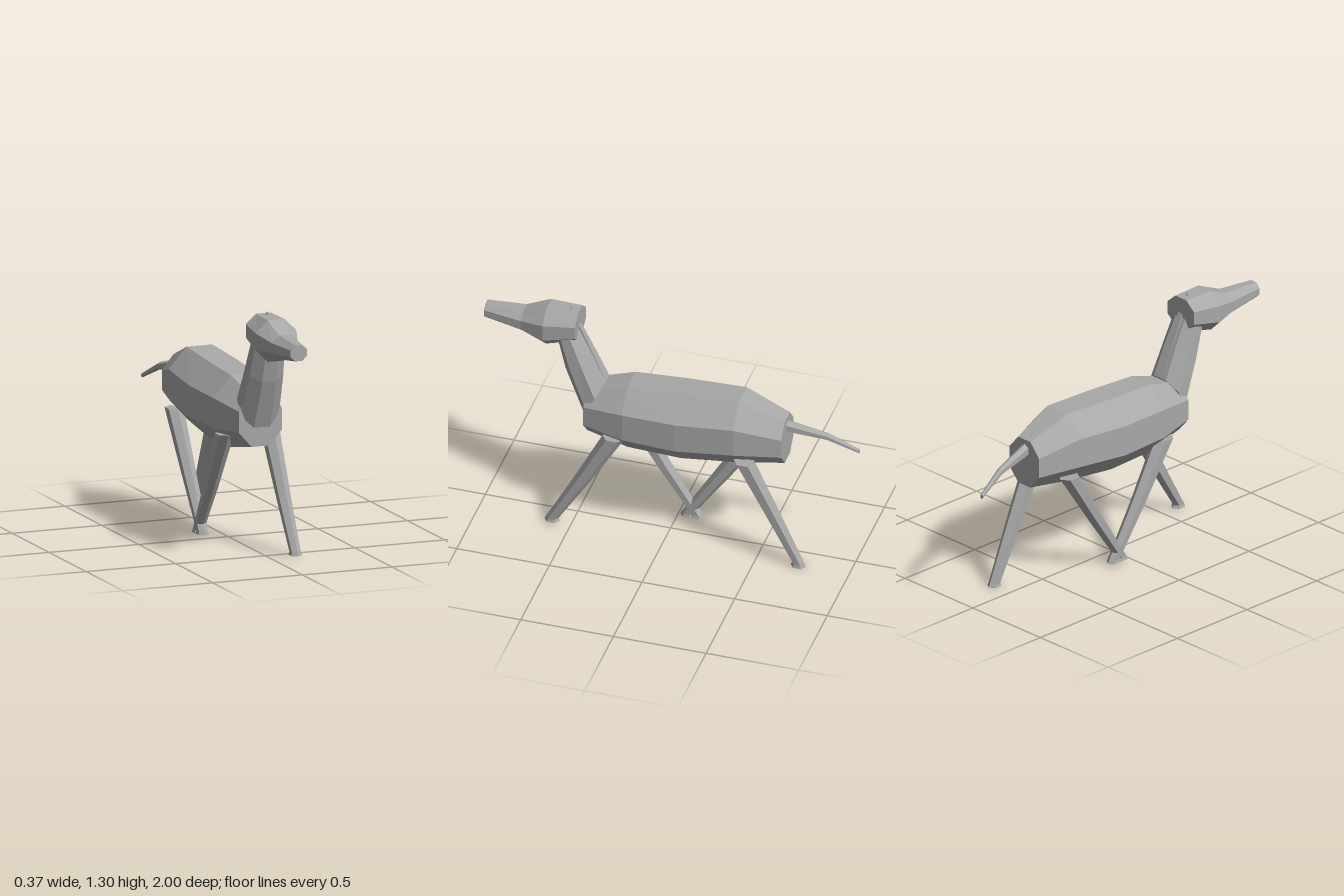
import * as THREE from 'three';

const grey = new THREE.MeshStandardMaterial({ color: 0xa8a8a8, flatShading: true });
grey.name = 'grey';

// Capped loft through rings [x, y, z, halfWidth, halfDepth, tilt].
// Tilt turns the ring's second axis from up (0) towards the back (PI / 2).
function loft(name, rings, sides = 8, start = Math.PI / 8, scale = 1 / Math.cos(Math.PI / 8)) {
  const pos = [], idx = [];
  for (const [x, y, z, w, d, tilt = 0] of rings) {
    for (let i = 0; i < sides; i++) {
      const a = start + (i / sides) * Math.PI * 2;
      const u = Math.cos(a) * w * scale, v = Math.sin(a) * d * scale;
      pos.push(x + u, y + v * Math.cos(tilt), z - v * Math.sin(tilt));
    }
  }
  for (let r = 0; r < rings.length - 1; r++) {
    for (let i = 0; i < sides; i++) {
      const a = r * sides + i, b = r * sides + (i + 1) % sides;
      idx.push(a, b, b + sides, a, b + sides, a + sides);
    }
  }
  const last = (rings.length - 1) * sides;
  for (let i = 1; i < sides - 1; i++) {
    idx.push(0, i + 1, i, last, last + i, last + i + 1);
  }
  const geometry = new THREE.BufferGeometry();
  geometry.setAttribute('position', new THREE.Float32BufferAttribute(pos, 3));
  geometry.setIndex(idx);
  const flat = geometry.toNonIndexed();
  flat.computeVertexNormals();
  const mesh = new THREE.Mesh(flat, grey);
  mesh.name = name;
  return mesh;
}

// Six-sided leg with level rings and a slightly flared hoof
function leg(name, x, footX, top, knee, foot, ground) {
  const t = -Math.PI / 2;
  const kneeX = (x + footX) / 2;
  return loft(name, [
    [x, 0.605, top, 0.048, 0.06, t],
    [kneeX, 0.3, knee, 0.038, 0.047, t],
    [footX, ground + 0.016, foot, 0.029, 0.034, t],
    [footX, ground, foot, 0.034, 0.042, t],
  ], 6, Math.PI / 6, 1);
}

export function createModel() {
  const model = new THREE.Group();
  model.name = 'animal';

  // Barrel body, rump to chest
  model.add(loft('body', [
    [0, 0.71, -0.63, 0.11, 0.13],
    [0, 0.74, -0.39, 0.172, 0.19],
    [0, 0.715, -0.08, 0.187, 0.2],
    [0, 0.71, 0.21, 0.172, 0.19],
    [0, 0.7, 0.435, 0.12, 0.135],
  ]));

  // Neck, base to head
  model.add(loft('neck', [
    [0, 0.77, 0.4, 0.108, 0.114, 0.5],
    [0, 0.975, 0.485, 0.095, 0.083, 1.0],
    [-0.003, 1.145, 0.547, 0.083, 0.062, 1.17],
  ]));

  // Thin mane ridge whose tip shows above the crown
  model.add(loft('mane', [
    [0, 0.89, 0.368, 0.018, 0.016, 1.1],
    [-0.003, 1.16, 0.486, 0.018, 0.012, 1.1],
    [-0.006, 1.26, 0.53, 0.016, 0.008, 1.1],
    [-0.006, 1.297, 0.54, 0.002, 0.002, 1.1],
  ], 4, Math.PI / 4, 1.3));

  // Head, turned slightly to its right, tapering to the muzzle
  model.add(loft('head', [
    [-0.007, 1.195, 0.49, 0.098, 0.085],
    [-0.007, 1.17, 0.66, 0.113, 0.11],
    [-0.013, 1.163, 0.79, 0.074, 0.063],
    [-0.02, 1.172, 1.0, 0.046, 0.042],
  ]));

  // Tail, tip to root
  model.add(loft('tail', [
    [-0.065, 0.656, -1.0, 0.01, 0.011],
    [-0.035, 0.735, -0.84, 0.017, 0.018],
    [-0.002, 0.785, -0.61, 0.029, 0.033],
  ], 6, Math.PI / 6, 1.1));

  // Striding legs: the left pair spreads apart, the right pair meets
  model.add(leg('frontLegLeft', 0.122, 0.125, 0.27, 0.44, 0.6, 0.014));
  model.add(leg('hindLegLeft', 0.13, 0.12, -0.44, -0.59, -0.727, 0));
  model.add(leg('frontLegRight', -0.125, -0.123, 0.25, 0.07, -0.105, 0.014));
  model.add(leg('hindLegRight', -0.125, -0.123, -0.43, -0.235, -0.056, 0.014));

  return model;
}
